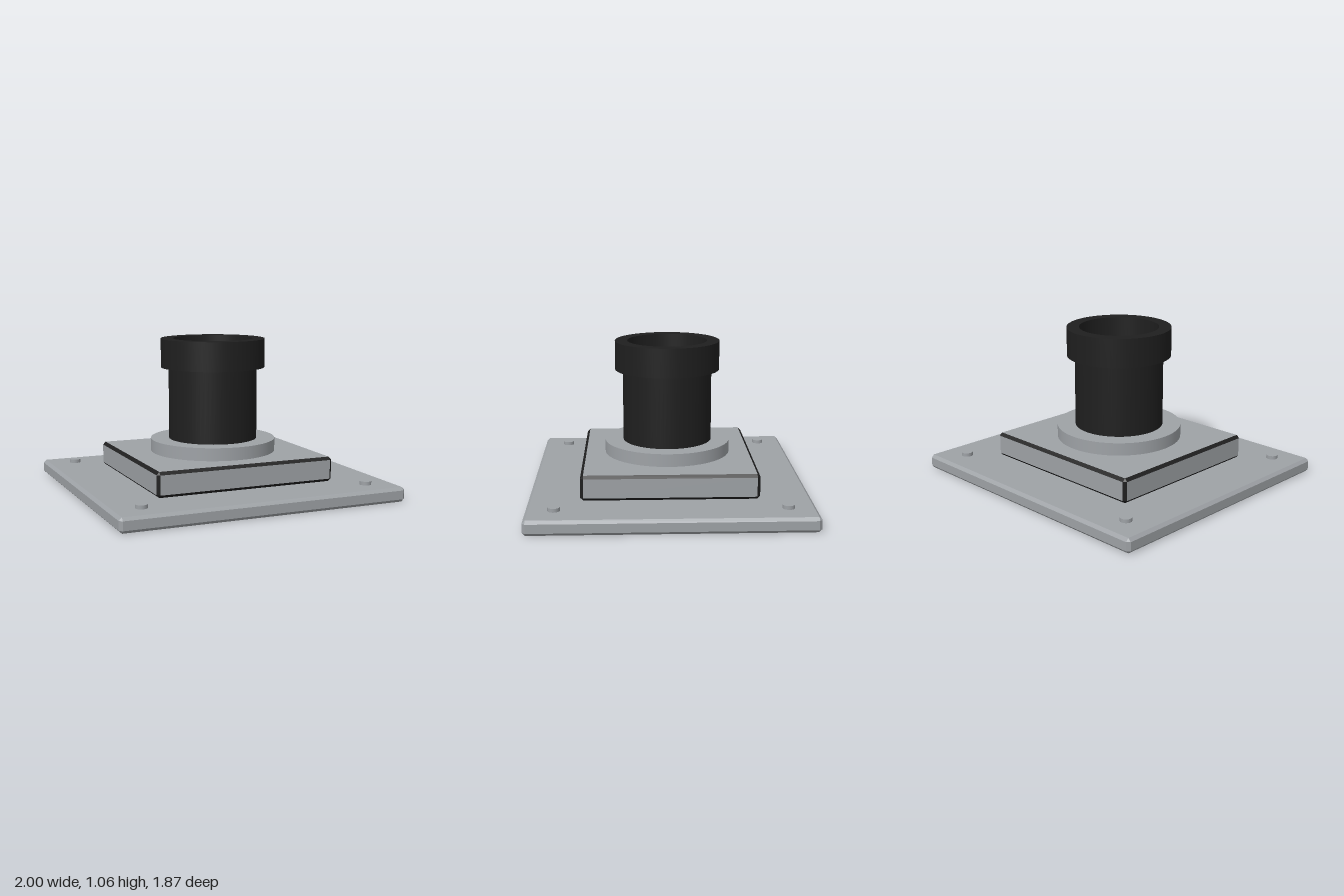
import * as THREE from 'three';
import { ConvexGeometry } from 'three/addons/geometries/ConvexGeometry.js';

const grey = new THREE.MeshStandardMaterial({ name: 'grey metal', color: 0x9ea2a6 });
const black = new THREE.MeshStandardMaterial({ name: 'black plastic', color: 0x1f1f1f });

// Box with chamfered edges; material 0 on the flat sides, material 1 on the chamfers
function chamferBox(w, h, d, c) {
  const points = [];
  for (const sx of [-1, 1]) for (const sy of [-1, 1]) for (const sz of [-1, 1]) {
    for (let axis = 0; axis < 3; axis++) {
      const half = [w / 2, h / 2, d / 2].map((v, i) => (i === axis ? v : v - c));
      points.push(new THREE.Vector3(sx * half[0], sy * half[1], sz * half[2]));
    }
  }
  const geometry = new ConvexGeometry(points);
  const n = geometry.attributes.normal;
  for (let i = 0; i < n.count; i += 3) {
    const flat = Math.max(Math.abs(n.getX(i)), Math.abs(n.getY(i)), Math.abs(n.getZ(i))) > 0.99;
    geometry.addGroup(i, 3, flat ? 0 : 1);
  }
  return geometry;
}

export function createModel() {
  const model = new THREE.Group();
  model.name = 'flangedPipeMount';

  const add = (name, geometry, material, x, y, z) => {
    const mesh = new THREE.Mesh(geometry, material);
    mesh.name = name;
    mesh.position.set(x, y, z);
    model.add(mesh);
    return mesh;
  };
  const cylinder = (name, r, y0, y1, material, x = 0, z = 0, sides = 64) =>
    add(name, new THREE.CylinderGeometry(r, r, y1 - y0, sides), material, x, (y0 + y1) / 2, z);

  // Stacked plates
  add('basePlate', chamferBox(2, 0.1, 1.87, 0.02), [grey, grey], 0, 0.05, 0);
  add('raisedBlock', chamferBox(1.27, 0.17, 1.18, 0.02), [grey, black], 0, 0.187, 0);

  // Corner bolts
  for (const x of [-0.8, 0.8]) for (const z of [-0.75, 0.75]) {
    cylinder('bolt', 0.04, 0.09, 0.125, grey, x, z, 16);
  }

  // Round flange and pipe
  cylinder('flange', 0.437, 0.26, 0.36, grey);
  cylinder('pipe', 0.309, 0.35, 0.86, black);

  // Hollow collar: separate segments keep the edges sharp
  const profile = [[0.277, 0.86], [0.363, 0.86], [0.363, 1.06], [0.277, 1.06], [0.277, 0.86]];
  for (let i = 1; i < 4; i++) {
    const points = [profile[i], profile[i + 1]].map(([r, y]) => new THREE.Vector2(r, y));
    add('collar', new THREE.LatheGeometry(points, 64), black, 0, 0, 0);
  }

  // Grey underside of the collar
  const underside = add('collarUnderside', new THREE.RingGeometry(0.309, 0.363, 64), grey, 0, 0.86, 0);
  underside.rotation.x = Math.PI / 2;

  return model;
}
